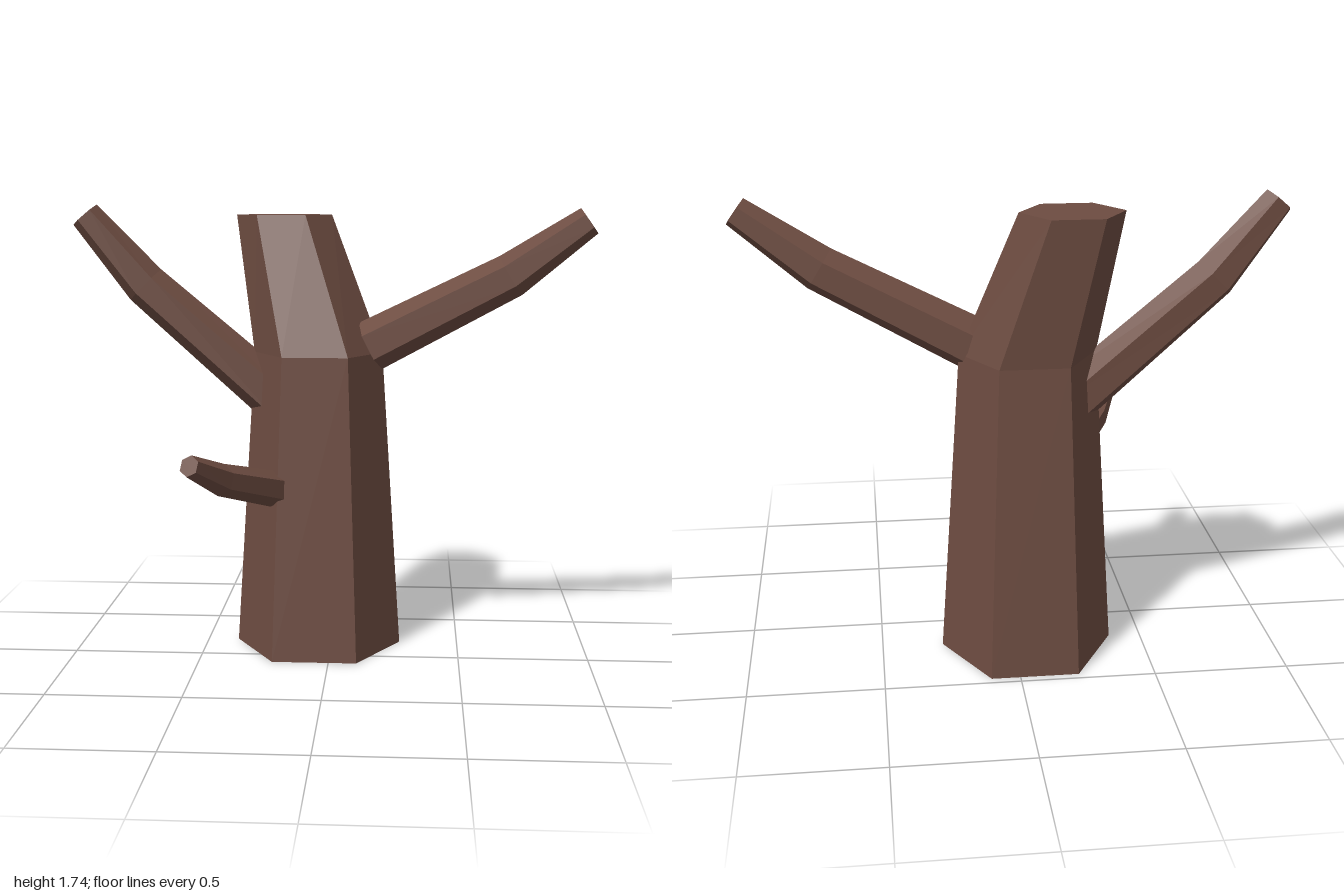
import * as THREE from 'three';

const SIDES = 6;

// Hexagonal limb lofted through stations {c: centre, r: radius, rb: optional second radius}.
// ref sets the direction of the first corner; axis fixes all rings to one plane direction.
function limb(stations, ref, axis) {
  const centres = stations.map(s => new THREE.Vector3(...s.c));
  const last = centres.length - 1;
  const rings = stations.map((s, i) => {
    const t = axis ? axis.clone() : new THREE.Vector3();
    if (!axis) {
      if (i > 0) t.add(centres[i].clone().sub(centres[i - 1]).normalize());
      if (i < last) t.add(centres[i + 1].clone().sub(centres[i]).normalize());
      t.normalize();
    }
    const n = ref.clone().addScaledVector(t, -ref.dot(t)).normalize();
    const b = t.clone().cross(n);
    return Array.from({ length: SIDES }, (_, j) => {
      const a = (j / SIDES) * Math.PI * 2;
      return centres[i].clone()
        .addScaledVector(n, Math.cos(a) * s.r)
        .addScaledVector(b, Math.sin(a) * (s.rb ?? s.r));
    });
  });

  const points = [];
  for (let j = 0; j < SIDES; j++) {
    const k = (j + 1) % SIDES;
    for (let i = 0; i < last; i++) {
      const [p, q, r, s] = [rings[i][j], rings[i][k], rings[i + 1][k], rings[i + 1][j]];
      points.push(p, q, r, p, r, s);
    }
    // End caps
    points.push(centres[0], rings[0][k], rings[0][j]);
    points.push(centres[last], rings[last][j], rings[last][k]);
  }
  const geometry = new THREE.BufferGeometry().setFromPoints(points);
  geometry.computeVertexNormals();
  return geometry;
}

export function createModel() {
  const group = new THREE.Group();
  group.name = 'bareTree';
  const bark = new THREE.MeshStandardMaterial({ color: 0x6d4c41, flatShading: true });
  bark.name = 'barkBrown';

  const add = (name, geometry) => {
    const mesh = new THREE.Mesh(geometry, bark);
    mesh.name = name;
    group.add(mesh);
  };

  const X = new THREE.Vector3(1, 0, 0);
  const Y = new THREE.Vector3(0, 1, 0);

  // Trunk: tapers straight up, then leans back and to the right
  add('trunk', limb([
    { c: [-0.055, 0, -0.19], r: 0.325 },
    { c: [-0.055, 1.17, -0.19], r: 0.25, rb: 0.245 },
    { c: [-0.195, 1.7, -0.295], r: 0.187, rb: 0.165 },
  ], X, Y));

  // Branches, each with one bend
  add('leftBranch', limb([
    { c: [0.15, 1.2, -0.147], r: 0.1 },
    { c: [0.68, 1.475, -0.095], r: 0.085 },
    { c: [0.965, 1.68, -0.067], r: 0.057 },
  ], Y));
  add('rightBranch', limb([
    { c: [-0.19, 0.96, -0.197], r: 0.1 },
    { c: [-0.73, 1.43, -0.192], r: 0.085 },
    { c: [-0.957, 1.7, -0.167], r: 0.06 },
  ], Y));
  add('frontBranch', limb([
    { c: [-0.215, 0.665, 0.01], r: 0.07 },
    { c: [-0.38, 0.75, 0.275], r: 0.06 },
    { c: [-0.468, 0.833, 0.45], r: 0.04 },
  ], Y));

  return group;
}
